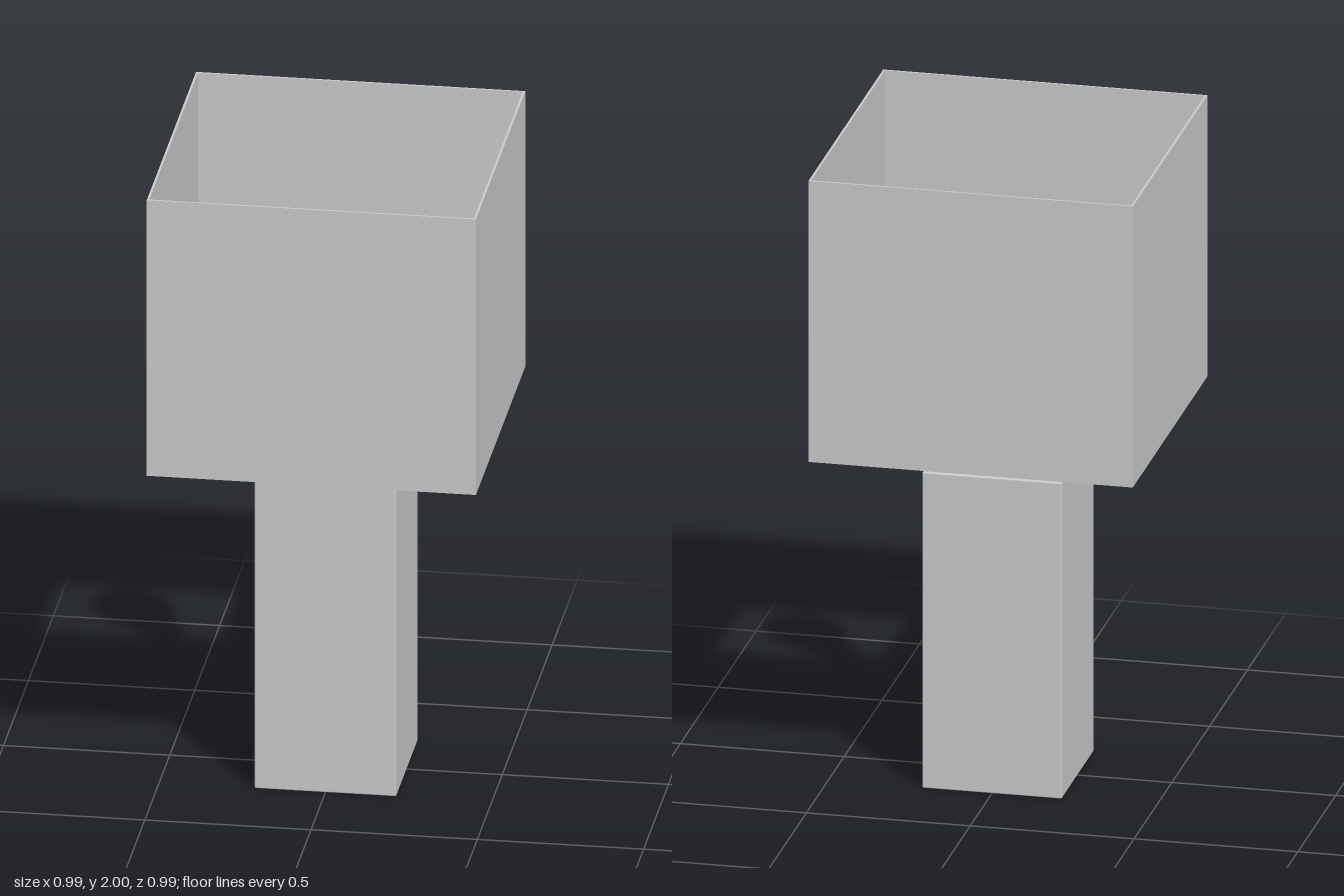
import * as THREE from 'three';
import { RoundedBoxGeometry } from 'three/addons/geometries/RoundedBoxGeometry.js';

export function createModel() {
  const lamp = new THREE.Group();
  lamp.name = 'tableLamp';
  const material = new THREE.MeshStandardMaterial({ color: 0xcccccc });
  const add = (name, geometry, y = 0) => {
    const mesh = new THREE.Mesh(geometry, material);
    mesh.name = name;
    mesh.position.y = y;
    lamp.add(mesh);
    return mesh;
  };
  const lathe = (points) =>
    new THREE.LatheGeometry(points.map(([r, y]) => new THREE.Vector2(r, y)), 48);

  // Square column with slightly eased edges
  add('base', new RoundedBoxGeometry(0.426, 1, 0.426, 2, 0.004), 0.5);

  // Thin stem between base and socket
  add('stem', new THREE.CylinderGeometry(0.027, 0.027, 0.36, 32), 1.16);

  // Flared bulb socket
  add('socket', lathe([
    [0, 1.32], [0.045, 1.32], [0.055, 1.33], [0.058, 1.39],
    [0.058, 1.39], [0.078, 1.46], [0.078, 1.47], [0, 1.47],
  ]));

  // Round bulb with a short neck
  const bulb = [[0.05, 1.46], [0.055, 1.49]];
  for (let i = 0; i <= 24; i++) {
    const a = THREE.MathUtils.lerp(-1.05, Math.PI / 2, i / 24);
    bulb.push([Math.max(0, 0.115 * Math.cos(a)), 1.6 + 0.115 * Math.sin(a)]);
  }
  add('bulb', lathe(bulb));

  // Open square shade: thin walls, no top or bottom
  const square = (path, h) => {
    path.moveTo(-h, -h);
    path.lineTo(h, -h);
    path.lineTo(h, h);
    path.lineTo(-h, h);
    path.closePath();
    return path;
  };
  const outline = square(new THREE.Shape(), 0.495);
  outline.holes.push(square(new THREE.Path(), 0.488));
  const shade = new THREE.ExtrudeGeometry(outline, { depth: 0.89, bevelEnabled: false });
  shade.rotateX(-Math.PI / 2);
  add('shade', shade, 1.11);

  // Two diagonal wires carrying the shade on the stem
  for (const side of [1, -1]) {
    const wire = new THREE.CylinderGeometry(0.005, 0.005, 1.366, 10);
    wire.rotateZ(Math.PI / 2);
    add('shadeWire', wire, 1.12).rotation.y = side * Math.PI / 4;
  }

  return lamp;
}
